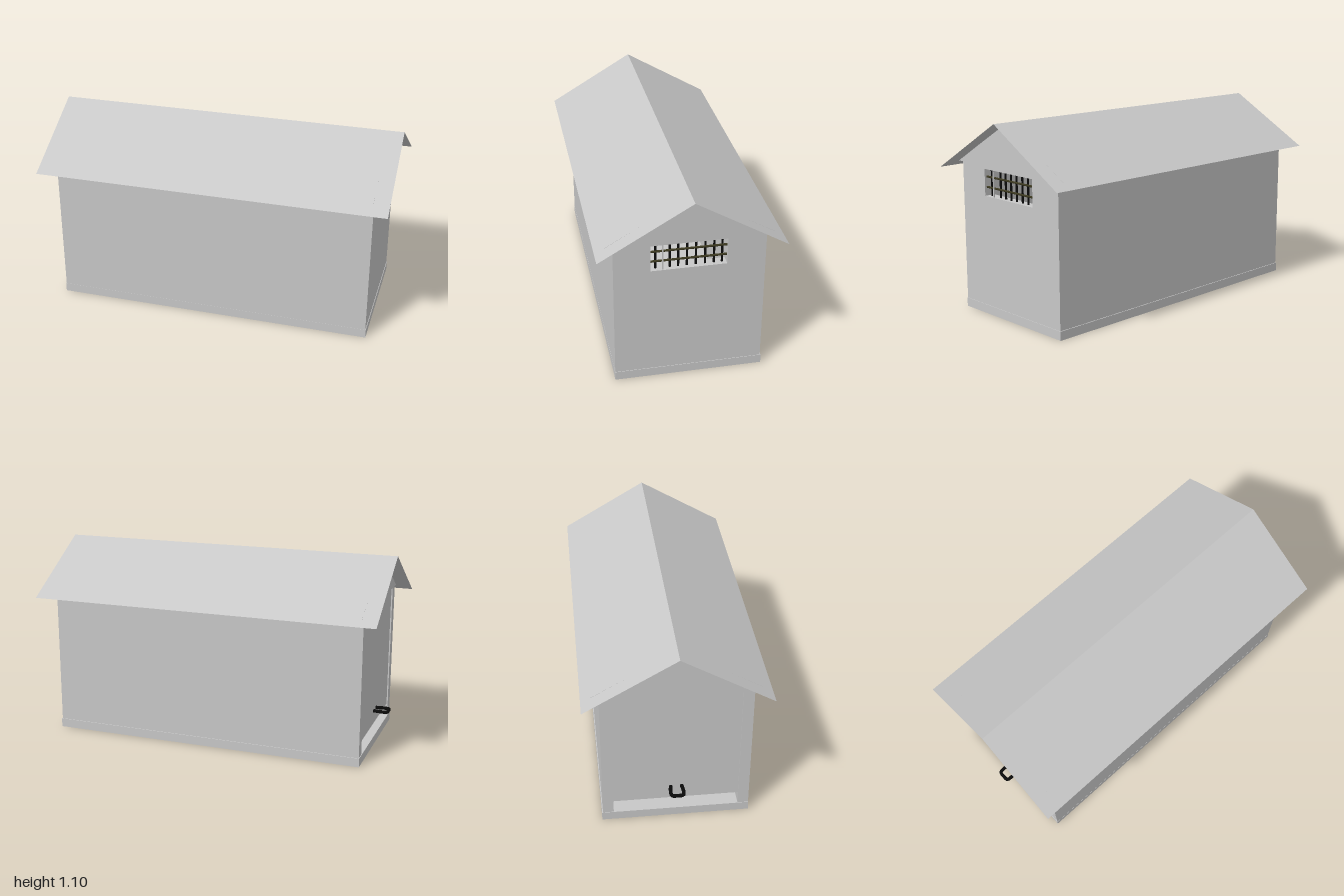
import * as THREE from 'three';

export function createModel() {
  const model = new THREE.Group();
  model.name = 'shed';

  const grey = new THREE.MeshStandardMaterial({ color: 0xc8c8c8, side: THREE.DoubleSide });
  grey.name = 'pale grey';
  const black = new THREE.MeshStandardMaterial({ color: 0x0a0a0a });
  black.name = 'black';
  const olive = new THREE.MeshStandardMaterial({ color: 0x3c3920 });
  olive.name = 'dark olive';

  const add = (name, geometry, material, x = 0, y = 0, z = 0) => {
    const mesh = new THREE.Mesh(geometry, material);
    mesh.name = name;
    mesh.position.set(x, y, z);
    model.add(mesh);
    return mesh;
  };
  // Box given by its lower and upper corners
  const box = (name, a, b, material = grey) => add(name,
    new THREE.BoxGeometry(b[0] - a[0], b[1] - a[1], b[2] - a[2]), material,
    (a[0] + b[0]) / 2, (a[1] + b[1]) / 2, (a[2] + b[2]) / 2);
  // Outline drawn in (-z, y), extruded along +x
  const extrudeX = (shape, depth) =>
    new THREE.ExtrudeGeometry(shape, { depth, bevelEnabled: false }).rotateY(Math.PI / 2);
  const outline = (points, Type = THREE.Shape) =>
    new Type(points.map(([z, y]) => new THREE.Vector2(-z, y)));

  const endX = 0.912, wallTop = 0.842, baseTop = 0.05;
  const outer = 0.402, inner = 0.343;

  // Floor slab, slightly wider than the walls
  box('floorBase', [-0.915, 0, -0.407], [0.915, baseTop, 0.403]);

  // Long side walls
  for (const s of [-1, 1]) {
    box(s > 0 ? 'frontWall' : 'backWall',
      [-endX, baseTop, Math.min(s * inner, s * outer)],
      [endX, wallTop, Math.max(s * inner, s * outer)]);
  }

  // End wall with the window opening
  const endWall = outline([[inner, baseTop], [-inner, baseTop], [-inner, wallTop], [inner, wallTop]]);
  endWall.holes.push(outline([[0.207, 0.675], [0.207, 0.825], [-0.197, 0.825], [-0.197, 0.675]], THREE.Path));
  add('windowWall', extrudeX(endWall, 0.06), grey, endX - 0.06);

  // Door between the side walls, with a gap above the floor
  box('door', [-0.905, 0.12, -inner], [-0.865, wallTop, inner]);

  // Gable block closing the roof space
  add('gable', extrudeX(outline([[0.443, wallTop], [-0.443, wallTop], [0, 1.098]]), 2 * endX), grey, -endX);

  // Thin roof sheets overhanging on every side
  const ridge = 1.1, eave = 0.81, half = 0.495;
  for (const s of [-1, 1]) {
    const sheet = add(s > 0 ? 'frontRoof' : 'backRoof',
      new THREE.PlaneGeometry(2, Math.hypot(half, ridge - eave)).rotateX(-Math.PI / 2),
      grey, 0, (ridge + eave) / 2, s * half / 2);
    sheet.rotation.x = s * Math.atan2(ridge - eave, half);
  }

  // Window grille
  const barX = 0.885;
  const upright = new THREE.CylinderGeometry(0.006, 0.006, 0.15, 10);
  for (const z of [0.178, 0.102, 0.058, 0.012, -0.035, -0.084, -0.131, -0.174]) {
    add('windowBar', upright, black, barX, 0.75, z);
  }
  const rail = new THREE.CylinderGeometry(0.006, 0.006, 0.404, 10).rotateX(Math.PI / 2);
  for (const y of [0.723, 0.781]) add('windowRail', rail, olive, barX + 0.01, y, 0.005);
  box('windowMullion', [barX + 0.014, 0.675, 0.139], [barX + 0.02, 0.825, 0.146]);

  // Door handle: two arms and a grip
  const points = [[-0.9, -0.03], [-0.955, -0.035], [-0.98, -0.03], [-0.984, 0],
    [-0.98, 0.03], [-0.955, 0.035], [-0.9, 0.03]].map(([x, z]) => new THREE.Vector3(x, 0.2, z));
  add('doorHandle', new THREE.TubeGeometry(new THREE.CatmullRomCurve3(points), 40, 0.01, 10), black);

  return model;
}
